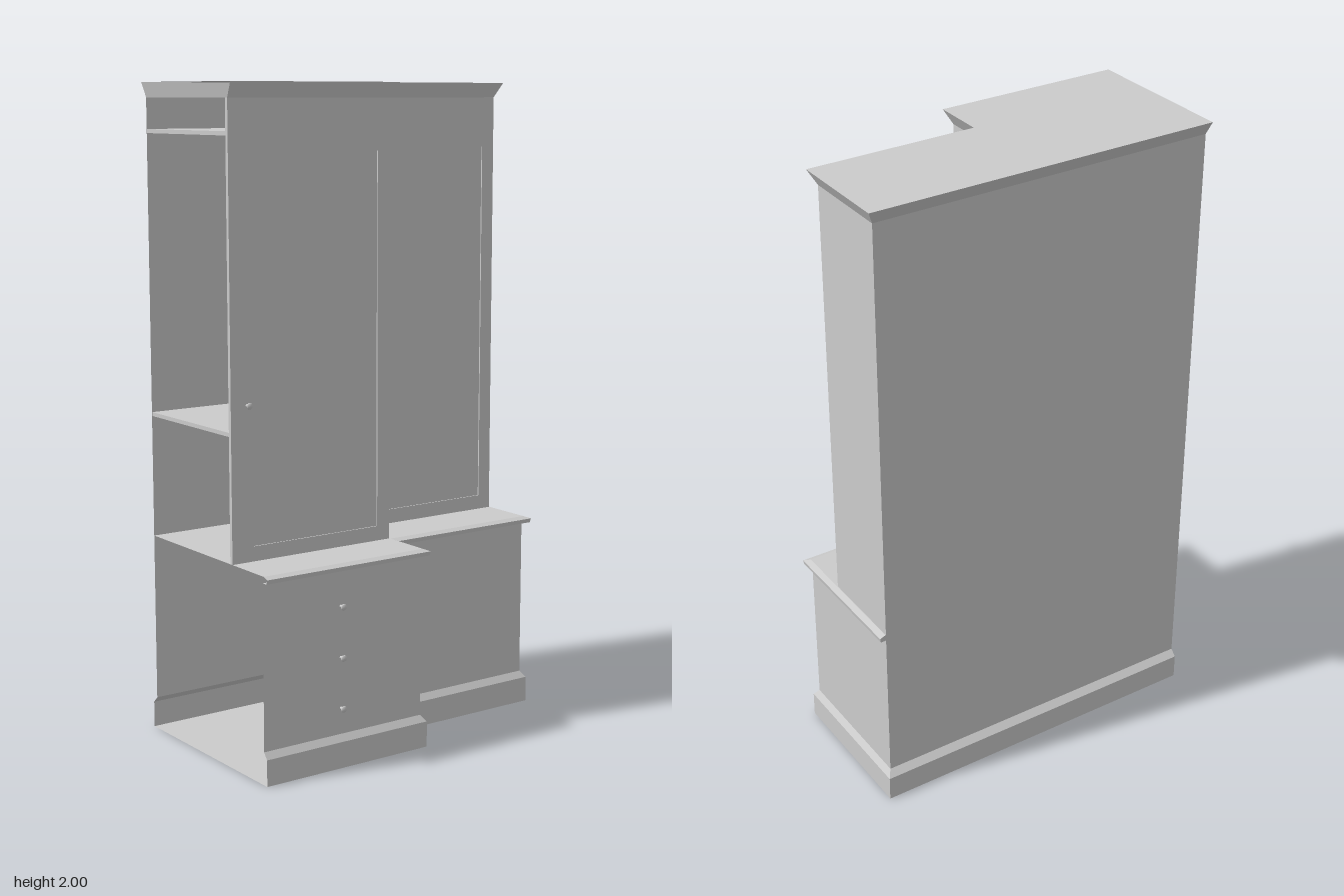
import * as THREE from 'three';

const mat = new THREE.MeshStandardMaterial({ color: 0xcccccc, side: THREE.DoubleSide });
const END = -0.565, RIGHT = 0.535, BACK = -0.305;
const UPPER = [0.15, -0.015], LOWER = [0.31, 0.15]; // front z of the deep and shallow halves

// Stepped plan as [x, z] corners, offset at the sides, front and back; the -x end stays put
function plan([deep, shallow], side = 0, front = side, back = 0) {
  return [
    [END, deep + front], [side, deep + front], [side, shallow + front],
    [RIGHT + side, shallow + front], [RIGHT + side, BACK - back], [END, BACK - back],
  ];
}

function add(parent, name, geometry, x = 0, y = 0, z = 0) {
  const mesh = new THREE.Mesh(geometry, mat);
  mesh.name = name;
  mesh.position.set(x, y, z);
  parent.add(mesh);
  return mesh;
}

// Walls joining successive plan rings [y, side, front, back]; open at the -x end
function walls(depths, rings, skip = []) {
  const pos = [];
  for (let r = 0; r < rings.length - 1; r++) {
    const [y0, ...o0] = rings[r], [y1, ...o1] = rings[r + 1];
    const lo = plan(depths, ...o0), hi = plan(depths, ...o1);
    for (let i = 0; i < lo.length - 1; i++) {
      if (skip.includes(i)) continue;
      const a = [lo[i][0], y0, lo[i][1]], b = [lo[i + 1][0], y0, lo[i + 1][1]];
      const c = [hi[i + 1][0], y1, hi[i + 1][1]], d = [hi[i][0], y1, hi[i][1]];
      pos.push(...a, ...b, ...c, ...a, ...c, ...d);
    }
  }
  const g = new THREE.BufferGeometry();
  g.setAttribute('position', new THREE.Float32BufferAttribute(pos, 3));
  g.computeVertexNormals();
  return g;
}

// Horizontal sheet or board with the stepped plan
function slab(corners, thickness = 0) {
  const shape = new THREE.Shape(corners.map(([x, z]) => new THREE.Vector2(x, -z)));
  const g = thickness
    ? new THREE.ExtrudeGeometry(shape, { depth: thickness, bevelEnabled: false })
    : new THREE.ShapeGeometry(shape);
  return g.rotateX(-Math.PI / 2);
}

function rect(Type, x0, y0, x1, y1) {
  return new Type([[x0, y0], [x1, y0], [x1, y1], [x0, y1]].map(p => new THREE.Vector2(...p)));
}

// Small flared knob pointing to +z
function knob(parent, name, x, y, z) {
  const profile = [[0.004, 0], [0.004, 0.005], [0.01, 0.016], [0.008, 0.02], [0, 0.021]];
  const g = new THREE.LatheGeometry(profile.map(p => new THREE.Vector2(...p)), 16);
  add(parent, name, g.rotateX(Math.PI / 2), x, y, z);
}

// Front wall with a shallow panel set in a frame
function door(parent, name, x0, x1, z) {
  const group = new THREE.Group();
  group.name = name;
  const left = x1 - 0.49, right = x1 - 0.045, bottom = 0.665, top = 1.8, depth = 0.012;
  const shape = rect(THREE.Shape, x0, 0.62, x1, 1.955);
  shape.holes.push(rect(THREE.Path, left, bottom, right, top));
  add(group, 'doorFrame', new THREE.ExtrudeGeometry(shape, { depth, bevelEnabled: false }), 0, 0, z - depth);
  add(group, 'doorPanel', new THREE.BoxGeometry(right - left, top - bottom, 0.004),
    (left + right) / 2, (bottom + top) / 2, z - depth / 2);
  knob(group, 'doorKnob', x1 - 0.511, 1.083, z);
  parent.add(group);
}

export function createModel() {
  const model = new THREE.Group();
  model.name = 'steppedCabinet';

  // Base with floor and bevelled plinth
  add(model, 'floor', slab(plan(LOWER, 0.015, 0.015, 0.02)));
  add(model, 'plinth', walls(LOWER, [[0, 0.015, 0.015, 0.02], [0.08, 0.015, 0.015, 0.02], [0.1, 0, 0, 0]]));
  add(model, 'lowerBody', walls(LOWER, [[0.1], [0.6]]));
  for (const y of [0.18, 0.335, 0.49]) knob(model, 'drawerKnob', -0.295, y, LOWER[0]);

  // Counter with a bevelled front lip
  add(model, 'counterEdge', walls(LOWER, [[0.6, 0], [0.6, 0.018, 0.02], [0.613, 0.02, 0.023], [0.62, 0.002, 0.005]]));
  add(model, 'counterTop', slab(plan(LOWER, 0.002, 0.005)), 0, 0.62);

  // Upper cabinet: side, step and back walls, then the two fronts
  add(model, 'upperBody', walls(UPPER, [[0.62], [1.955]], [0, 2]));
  door(model, 'deepDoor', END, 0, UPPER[0]);
  door(model, 'shallowDoor', 0, RIGHT, UPPER[1]);

  // Inner shelves, seen through the open end
  for (const y of [0.995, 1.85]) add(model, 'shelf', slab(plan(UPPER, -0.004, -0.012, -0.002), 0.012), 0, y);

  // Flared crown and flat top
  add(model, 'crown', walls(UPPER, [[1.955], [2, 0.025, 0.017, 0.028]]));
  add(model, 'top', slab(plan(UPPER, 0.025, 0.017, 0.028)), 0, 2);

  return model;
}
